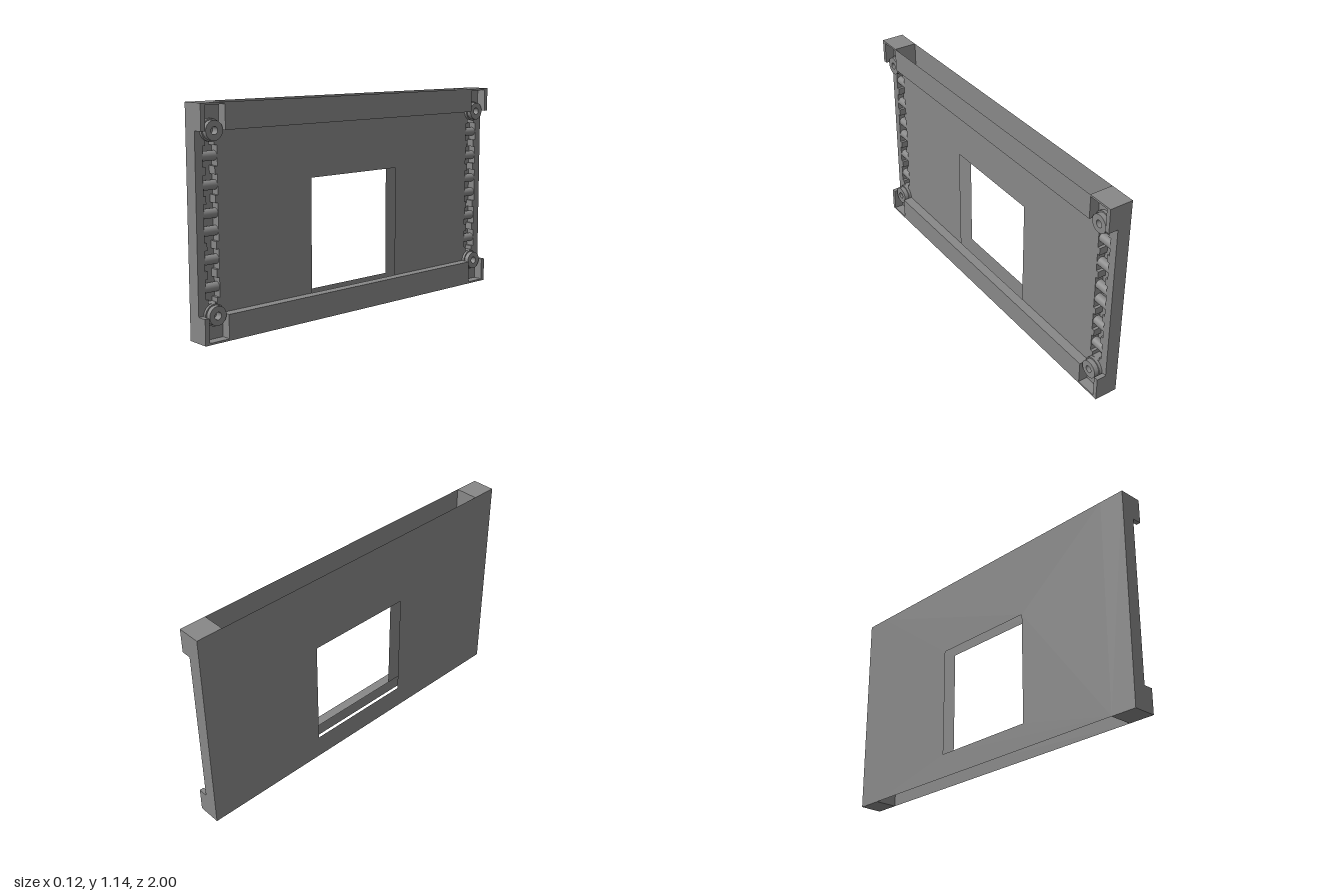
import * as THREE from 'three';

const BACK = -0.063, FACE = 0.01, FRONT = 0.062, H = 1.14, LIP = 0.13;
const INNER = 0.86, SLOT_FLOOR = -0.035, PIN_Z = 0.917;
const ROLLERS = [0.257, 0.392, 0.53, 0.614, 0.749, 0.887];
// Wide stretches of the slot, from bottom to top
const BAYS = [[0.207, 0.305], [0.344, 0.442], [0.48, 0.664], [0.702, 0.8], [0.839, 0.937]];

const COLOR = 0x888888;
const solid = new THREE.MeshStandardMaterial({ color: COLOR, flatShading: true });
const smooth = new THREE.MeshStandardMaterial({ color: COLOR });
const sheet = new THREE.MeshStandardMaterial({ color: COLOR, side: THREE.DoubleSide });

function add(parent, name, geometry, material) {
  const mesh = new THREE.Mesh(geometry, material);
  mesh.name = name;
  parent.add(mesh);
  return mesh;
}

// Box given by its limits on each axis
function box(parent, name, x0, x1, y0, y1, z0, z1) {
  const m = add(parent, name, new THREE.BoxGeometry(x1 - x0, y1 - y0, z1 - z0), solid);
  m.position.set((x0 + x1) / 2, (y0 + y1) / 2, (z0 + z1) / 2);
}

const outline = (Type, pts) => new Type(pts.map(([a, b]) => new THREE.Vector2(a, b)));
const rect = (a0, b0, a1, b1) => [[a0, b0], [a1, b0], [a1, b1], [a0, b1]];

// Thin sheet lying in a plane of constant x
function skin(parent, name, x, shape) {
  const m = add(parent, name, new THREE.ShapeGeometry(shape), sheet);
  m.rotation.y = Math.PI / 2;
  m.position.x = x;
}

// Slot edge: wide bays around the rollers, short necks between them
function slotOutline() {
  const right = [[0.026, 0.185]];
  for (const [y0, y1] of BAYS) {
    right.push([0.026, y0], [0.041, y0], [0.041, y1], [0.026, y1]);
  }
  right.push([0.026, 0.96]);
  const left = right.map(([a, b]) => [-a, b]).reverse();
  return [...right, ...left].map(([a, b]) => [a - PIN_Z, b]);
}

// End column with its roller slot, corner pockets and pins (built at +z)
function endColumn() {
  const g = new THREE.Group();
  box(g, 'columnBack', BACK, SLOT_FLOOR, 0, H, INNER, 1);

  const shape = outline(THREE.Shape, rect(-1, 0, -INNER, H));
  shape.holes.push(outline(THREE.Path, slotOutline()));
  const geo = new THREE.ExtrudeGeometry(shape, { depth: FACE - SLOT_FLOOR, bevelEnabled: false });
  geo.rotateY(Math.PI / 2).translate(SLOT_FLOOR, 0, 0);
  add(g, 'slottedFace', geo, solid);

  for (const y of ROLLERS) {
    const r = add(g, 'roller', new THREE.CylinderGeometry(0.024, 0.024, 0.081, 24), smooth);
    r.rotation.x = Math.PI / 2;
    r.position.set(-0.015, y, PIN_Z);
  }

  for (const top of [false, true]) {
    const y0 = top ? H - LIP : 0;
    const rimY = top ? H - 0.01 : 0;
    box(g, 'pocketSideWall', FACE, FRONT, y0, y0 + LIP, 0.976, 1);
    box(g, 'pocketEndWall', FACE, FRONT, rimY, rimY + 0.01, INNER, 0.976);
    box(g, 'pocketInnerWall', FACE, FRONT, y0, y0 + LIP, INNER, 0.863);

    // Stepped pin with a bore
    const profile = [[0.055, 0], [0.055, 0.015], [0.048, 0.015], [0.048, 0.04], [0.019, 0.04], [0.019, 0]];
    for (let i = 0; i < profile.length - 1; i++) {
      const pts = [profile[i], profile[i + 1]].map(([r, h]) => new THREE.Vector2(r, h));
      const pin = add(g, 'cornerPin', new THREE.LatheGeometry(pts, 32), sheet);
      pin.rotation.z = -Math.PI / 2;
      pin.position.set(FACE, top ? H - LIP : LIP, PIN_Z);
    }
  }
  return g;
}

export function createModel() {
  const model = new THREE.Group();
  model.name = 'windowPanel';

  // Back sheet with a square window
  const back = outline(THREE.Shape, rect(-INNER, 0, INNER, H));
  back.holes.push(outline(THREE.Path, rect(-0.3, LIP, 0.3, 0.73)));
  skin(model, 'backSheet', BACK, back);

  // Front sheet, with the window reaching down to the lower ledge
  const top = H - LIP;
  skin(model, 'frontSheet', FACE, outline(THREE.Shape, [
    [-INNER, LIP], [-0.3, LIP], [-0.3, 0.73], [0.3, 0.73], [0.3, LIP],
    [INNER, LIP], [INNER, top], [-INNER, top],
  ]));

  // Raised rails and the ledges joining them to the front sheet
  for (const [y0, ledgeY] of [[0, LIP], [top, top]]) {
    skin(model, 'rail', FRONT, outline(THREE.Shape, rect(-INNER, y0, INNER, y0 + LIP)));
    const ledge = add(model, 'ledge', new THREE.PlaneGeometry(FRONT - FACE, 2 * INNER), sheet);
    ledge.rotation.x = y0 ? Math.PI / 2 : -Math.PI / 2;
    ledge.position.set((FACE + FRONT) / 2, ledgeY, 0);
  }

  // Matching columns at both ends
  for (const side of [1, -1]) {
    const column = endColumn();
    column.name = side > 0 ? 'frontColumn' : 'backColumn';
    column.scale.z = side;
    model.add(column);
  }
  return model;
}
